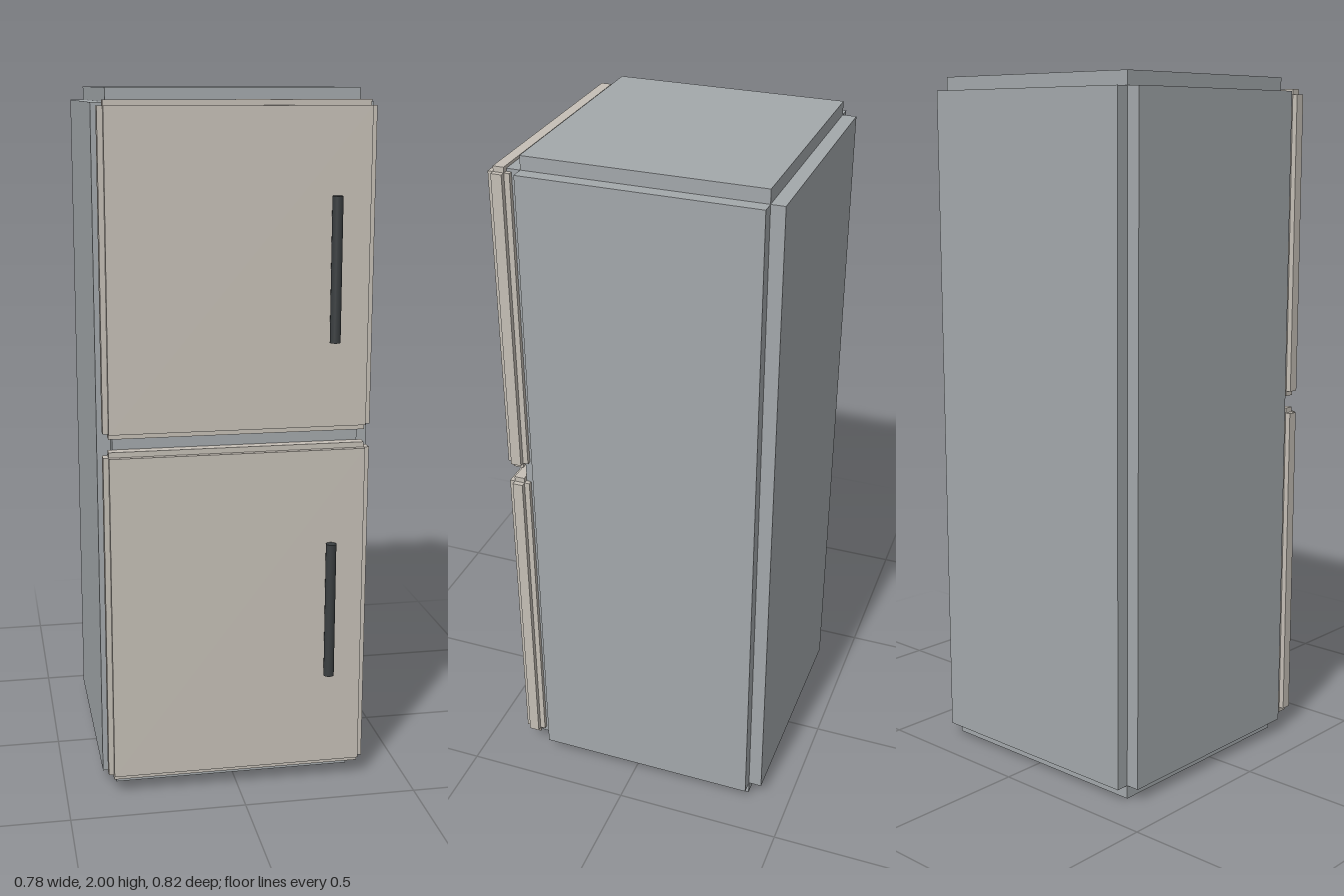
import * as THREE from 'three';

const bodyMat = new THREE.MeshStandardMaterial({ color: 0xa3a8ab });
const doorMat = new THREE.MeshStandardMaterial({ color: 0xc5bfb6 });
const handleMat = new THREE.MeshStandardMaterial({ color: 0x3a3e40 });

// Block with stepped edges: three crossing boxes, each full length along one axis
function steppedBlock(name, size, step, material) {
  const block = new THREE.Group();
  block.name = name;
  ['SidePanels', 'TopAndBottomPanels', 'FrontAndBackPanels'].forEach((part, axis) => {
    const dims = size.map((s, i) => (i === axis ? s : s - 2 * step));
    const mesh = new THREE.Mesh(new THREE.BoxGeometry(...dims), material);
    mesh.name = name + part;
    block.add(mesh);
  });
  return block;
}

export function createModel() {
  const fridge = new THREE.Group();
  fridge.name = 'refrigerator';

  // Cabinet
  const cabinet = steppedBlock('cabinet', [0.776, 2, 0.743], 0.039, bodyMat);
  cabinet.position.set(0, 1, -0.0385);
  fridge.add(cabinet);

  // Doors, each with a vertical bar handle
  const doors = [
    { name: 'lower', bottom: 0.043, top: 1.023, handleY: 0.535 },
    { name: 'upper', bottom: 1.06, top: 1.968, handleY: 1.515 },
  ];
  for (const { name, bottom, top, handleY } of doors) {
    const door = steppedBlock(name + 'Door', [0.755, top - bottom, 0.061], 0.0153, doorMat);
    door.position.set(0, (bottom + top) / 2, 0.3495);
    fridge.add(door);

    const handle = new THREE.Mesh(new THREE.CylinderGeometry(0.015, 0.015, 0.4, 16), handleMat);
    handle.name = name + 'Handle';
    handle.position.set(0.265, handleY, 0.395);
    fridge.add(handle);
  }
  return fridge;
}
